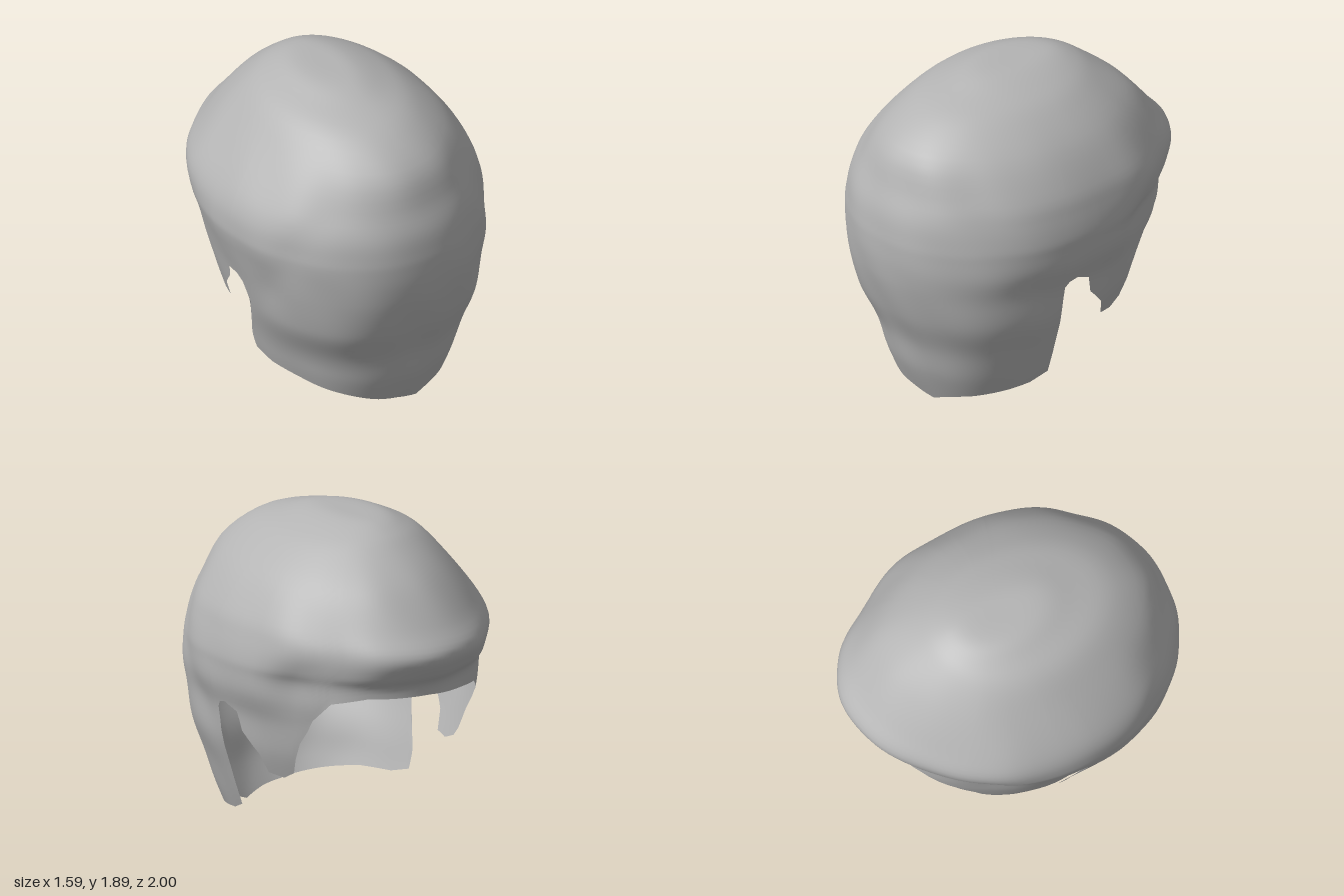
import * as THREE from 'three';
import { mergeVertices } from 'three/addons/utils/BufferGeometryUtils.js';

// Horizontal sections from crown to nape: y, width +x, width -x, back z, widest z, front z
const SECTIONS = [
  [1.89, 0, 0, -0.05, -0.05, -0.05],
  [1.885, 0.12, 0.17, 0.2, -0.05, -0.28],
  [1.84, 0.26, 0.29, 0.39, -0.04, -0.42],
  [1.76, 0.41, 0.43, 0.63, 0, -0.54],
  [1.6, 0.59, 0.57, 0.84, 0.03, -0.73],
  [1.4, 0.72, 0.72, 0.925, 0.07, -0.9],
  [1.27, 0.765, 0.785, 0.975, 0.08, -1.0],
  [1.15, 0.79, 0.8, 0.995, 0.09, -0.95],
  [1.07, 0.79, 0.79, 1.0, 0.1, -0.885],
  [0.95, 0.78, 0.755, 0.995, 0.1, -0.88],
  [0.8, 0.735, 0.71, 0.97, 0.1, -0.86],
  [0.6, 0.705, 0.655, 0.91, 0.1, -0.79],
  [0.4, 0.64, 0.59, 0.83, 0.1, -0.72],
  [0.2, 0.575, 0.53, 0.78, 0.1, -0.65],
  [0, 0.5, 0.46, 0.7, 0.1, -0.6],
];

// Hem height on each side, from the back (u = 1) to the front (u = -1):
// nape, ear notch, sideburn, fringe
const HEM_RIGHT = [[1, 0.04], [0.96, 0], [0.9, 0.035], [0.8, 0.07], [0.3, 0.13], [0.14, 0.18], [0.135, 0.45],
  [0.13, 0.65], [0.12, 0.8], [0.09, 0.835], [0.03, 0.85], [-0.07, 0.81], [-0.1, 0.7], [-0.23, 0.58],
  [-0.28, 0.47], [-0.4, 0.455], [-0.48, 0.5], [-0.53, 0.7], [-0.61, 0.86], [-0.72, 0.98], [-0.88, 1.02], [-1, 1.01]];
const HEM_LEFT = [[1, 0.04], [0.97, 0.06], [0.8, 0.11], [0.55, 0.15], [0.3, 0.16], [0.12, 0.2],
  [0.11, 0.62], [0.08, 0.75], [0.03, 0.79], [-0.06, 0.79], [-0.1, 0.7], [-0.23, 0.58], [-0.28, 0.47],
  [-0.4, 0.46], [-0.53, 0.51], [-0.58, 0.57], [-0.61, 0.7], [-0.7, 0.84], [-0.84, 0.96], [-0.93, 0.98], [-1, 1.01]];
const NOTCH_TOP = 0.86;

const bump = (v, width) => Math.exp(-((v / width) ** 2));
const smooth = THREE.MathUtils.smoothstep;

// Smooth section at position s along the list
function sectionAt(s) {
  const last = SECTIONS.length - 1;
  const i = Math.min(Math.floor(s), last - 1), t = s - i;
  const row = (k) => SECTIONS[Math.max(0, Math.min(last, k))];
  return row(i).map((b, k) => {
    const a = row(i - 1)[k], c = row(i + 1)[k], d = row(i + 2)[k];
    const m0 = (c - a) / 2, m1 = (d - b) / 2;
    return b + t * (m0 + t * (3 * (c - b) - 2 * m0 - m1 + t * (2 * (b - c) + m0 + m1)));
  });
}

// Position along the sections at which a height is reached
function findSection(y) {
  let lo = 0, hi = SECTIONS.length - 1;
  for (let k = 0; k < 30; k++) {
    const mid = (lo + hi) / 2;
    if (sectionAt(mid)[0] > y) lo = mid; else hi = mid;
  }
  return hi;
}

// Columns around the head, finer wherever the hem has corners
function hemColumns(hem) {
  const columns = [];
  for (let i = 0; i < hem.length - 1; i++) {
    const a0 = Math.acos(hem[i][0]), a1 = Math.acos(hem[i + 1][0]);
    const n = Math.max(2, Math.ceil((a1 - a0) / 0.05));
    for (let k = 0; k < n; k++) {
      columns.push([a0 + (a1 - a0) * k / n, THREE.MathUtils.lerp(hem[i][1], hem[i + 1][1], k / n)]);
    }
  }
  columns.push([Math.PI, hem[hem.length - 1][1]]);
  return columns;
}

function surfacePoint(angle, s) {
  const [y, wr, wl, back, mid, front] = sectionAt(s);
  const u = Math.cos(angle), side = Math.sin(angle);
  const fade = smooth(1.85 - y, 0, 0.3);
  // Shallow groove around the back hair, and fuller hair towards the nape
  const grooveU = 0.75 - 0.65 * Math.max(0, 1.4 - y);
  let r = 1 - 0.012 * fade * bump(u - grooveU, 0.14) * smooth(y, 0.5, 0.9);
  if (u > 0) r += 0.06 * Math.sin(2 * angle) ** 2 * smooth(1.2 - y, 0, 0.7);
  // Fold above the sideburns, full temples and a tapering fringe
  r -= 0.03 * bump(u + 0.52, 0.14) * bump(y - 1.04, 0.16);
  r += (0.025 * bump(u + 0.4, 0.16) - 0.025 * bump(u + 0.75, 0.15)) * bump(y - 1.3, 0.25);
  // Soft locks
  r += 0.005 * fade * Math.sin(angle * 11 + y * 4) * Math.sin(y * 7 + angle * 2);
  // The peak of the fringe sits a little to one side
  const x = side * (side > 0 ? wr : wl) * r + 0.06 * fade * Math.max(0, -u) ** 4;
  let z = mid + u * (u > 0 ? back - mid : mid - front) * r;
  // Nape lock sweeping forward below one ear
  if (side < 0 && u > -0.09) z -= 0.13 * smooth(0.62 - y, 0, 0.35) * (1 - u * u);
  return [x, y, z];
}

function hairGeometry() {
  const right = hemColumns(HEM_RIGHT);
  const left = hemColumns(HEM_LEFT).map(([a, y]) => [2 * Math.PI - a, y]).reverse();
  const columns = [...right, ...left.slice(1)];
  const upper = 40, rows = 64, notch = findSection(NOTCH_TOP);
  const position = [], index = [];
  columns.forEach(([angle, hem], i) => {
    // Level rows down to the ear notch, then rows that run out to the hem
    const end = findSection(hem), level = Math.min(notch, end - 0.02);
    for (let j = 0; j <= rows; j++) {
      const s = j <= upper ? level * j / upper : level + (end - level) * (j - upper) / (rows - upper);
      position.push(...surfacePoint(angle, s));
      if (i < columns.length - 1 && j < rows) {
        const a = i * (rows + 1) + j, b = a + 1, c = a + rows + 1, d = c + 1;
        if (j > 0) index.push(a, b, c);
        index.push(b, d, c);
      }
    }
  });
  const geometry = new THREE.BufferGeometry();
  geometry.setAttribute('position', new THREE.Float32BufferAttribute(position, 3));
  geometry.setIndex(index);
  const welded = mergeVertices(geometry, 1e-5);
  welded.computeVertexNormals();
  return welded;
}

export function createModel() {
  const grey = new THREE.MeshStandardMaterial({ color: 0xb4b4b4, side: THREE.DoubleSide });
  grey.name = 'hair grey';
  const hair = new THREE.Mesh(hairGeometry(), grey);
  hair.name = 'hairShell';
  const group = new THREE.Group();
  group.name = 'hairpiece';
  group.add(hair);
  return group;
}
